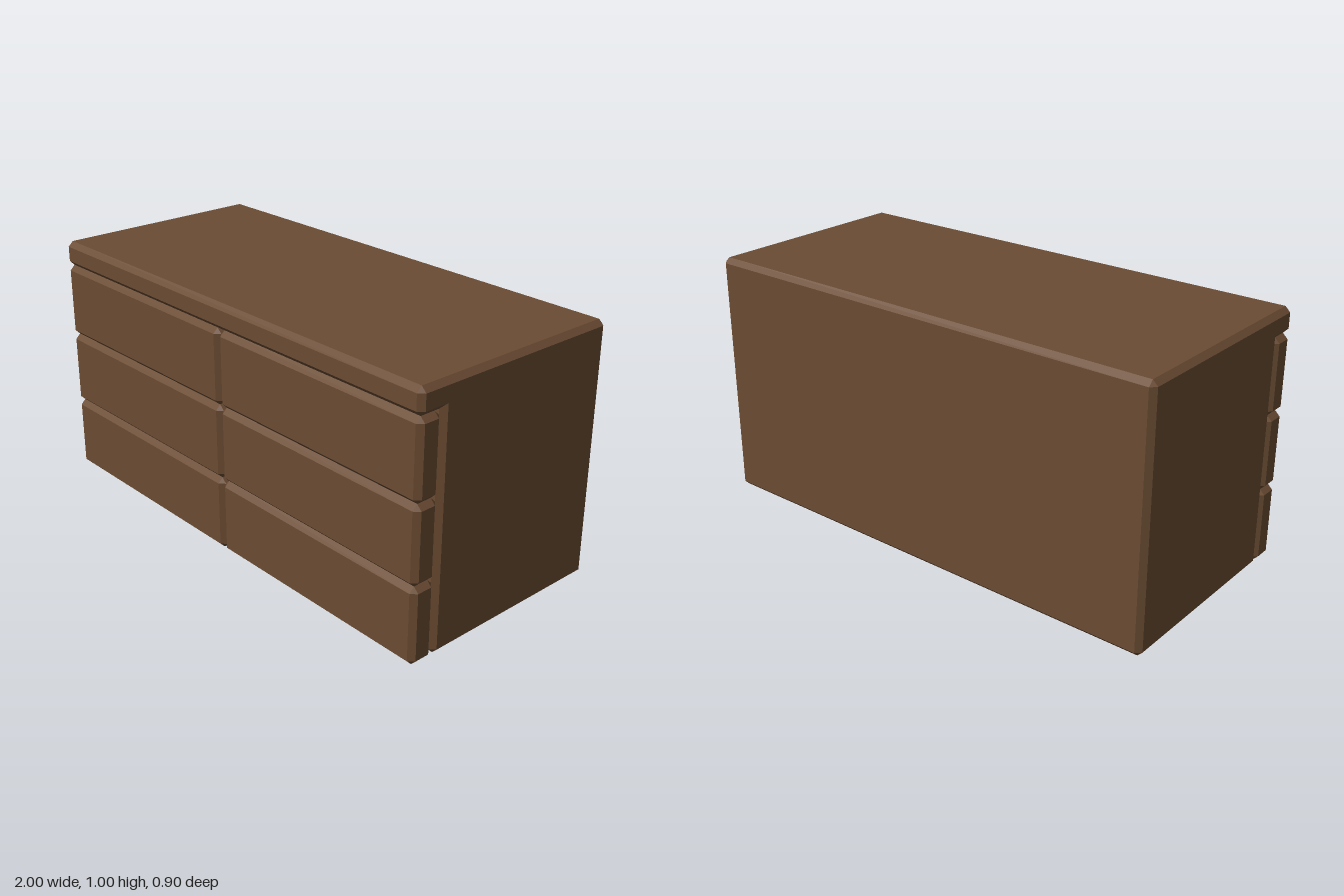
import * as THREE from 'three';

const CHAMFER = 0.02;

// Prism along x from a right-angled [z, y] outline (counter-clockwise seen from +x),
// with every outward edge chamfered and inward corners left sharp.
function chamferedPrism(outline, x0, x1) {
  const pts = outline.map(([z, y]) => new THREE.Vector2(-z, y));
  const n = pts.length;
  const left = (d) => new THREE.Vector2(-d.y, d.x);
  const full = [], inset = [], cap = [];
  pts.forEach((p, i) => {
    const dIn = p.clone().sub(pts[(i + n - 1) % n]).normalize();
    const dOut = pts[(i + 1) % n].clone().sub(p).normalize();
    const inner = p.clone().addScaledVector(left(dIn), CHAMFER).addScaledVector(left(dOut), CHAMFER);
    cap.push(inner);
    if (dIn.cross(dOut) > 0) {
      full.push(p.clone().addScaledVector(dIn, -CHAMFER), p.clone().addScaledVector(dOut, CHAMFER));
      inset.push(inner, inner);
    } else {
      full.push(p);
      inset.push(inner);
    }
  });

  const positions = [];
  const at = (x, p) => new THREE.Vector3(x, p.y, -p.x);
  const tri = (a, b, c) => {
    if (a.equals(b) || b.equals(c) || c.equals(a)) return;
    for (const v of [a, b, c]) positions.push(v.x, v.y, v.z);
  };

  // Skin between the four cross-sections
  const loops = [[x0, inset], [x0 + CHAMFER, full], [x1 - CHAMFER, full], [x1, inset]]
    .map(([x, loop]) => loop.map((p) => at(x, p)));
  for (let i = 0; i < 3; i++) {
    for (let k = 0; k < full.length; k++) {
      const m = (k + 1) % full.length;
      tri(loops[i][k], loops[i][m], loops[i + 1][m]);
      tri(loops[i][k], loops[i + 1][m], loops[i + 1][k]);
    }
  }
  // End faces
  for (const [a, b, c] of THREE.ShapeUtils.triangulateShape(cap, [])) {
    tri(at(x1, cap[a]), at(x1, cap[b]), at(x1, cap[c]));
    tri(at(x0, cap[c]), at(x0, cap[b]), at(x0, cap[a]));
  }

  const geometry = new THREE.BufferGeometry();
  geometry.setAttribute('position', new THREE.Float32BufferAttribute(positions, 3));
  geometry.computeVertexNormals();
  return geometry;
}

export function createModel() {
  const model = new THREE.Group();
  model.name = 'dresser';
  const wood = new THREE.MeshStandardMaterial({ color: 0x6b4c33, flatShading: true });

  const add = (name, geometry) => {
    const mesh = new THREE.Mesh(geometry, wood);
    mesh.name = name;
    model.add(mesh);
  };

  // Cabinet with its top overhanging the drawers
  add('cabinet', chamferedPrism(
    [[0.35, 0], [-0.45, 0], [-0.45, 1], [0.45, 1], [0.45, 0.9], [0.35, 0.9]], -1, 1));

  // Three rows of two drawer fronts
  const rows = ['bottom', 'middle', 'top'];
  rows.forEach((row, i) => {
    const y0 = i * 0.3, y1 = y0 + 0.3;
    const outline = [[0.45, y0], [0.35, y0], [0.35, y1], [0.45, y1]];
    add(`${row}RightDrawer`, chamferedPrism(outline, -1, 0));
    add(`${row}LeftDrawer`, chamferedPrism(outline, 0, 1));
  });

  return model;
}
